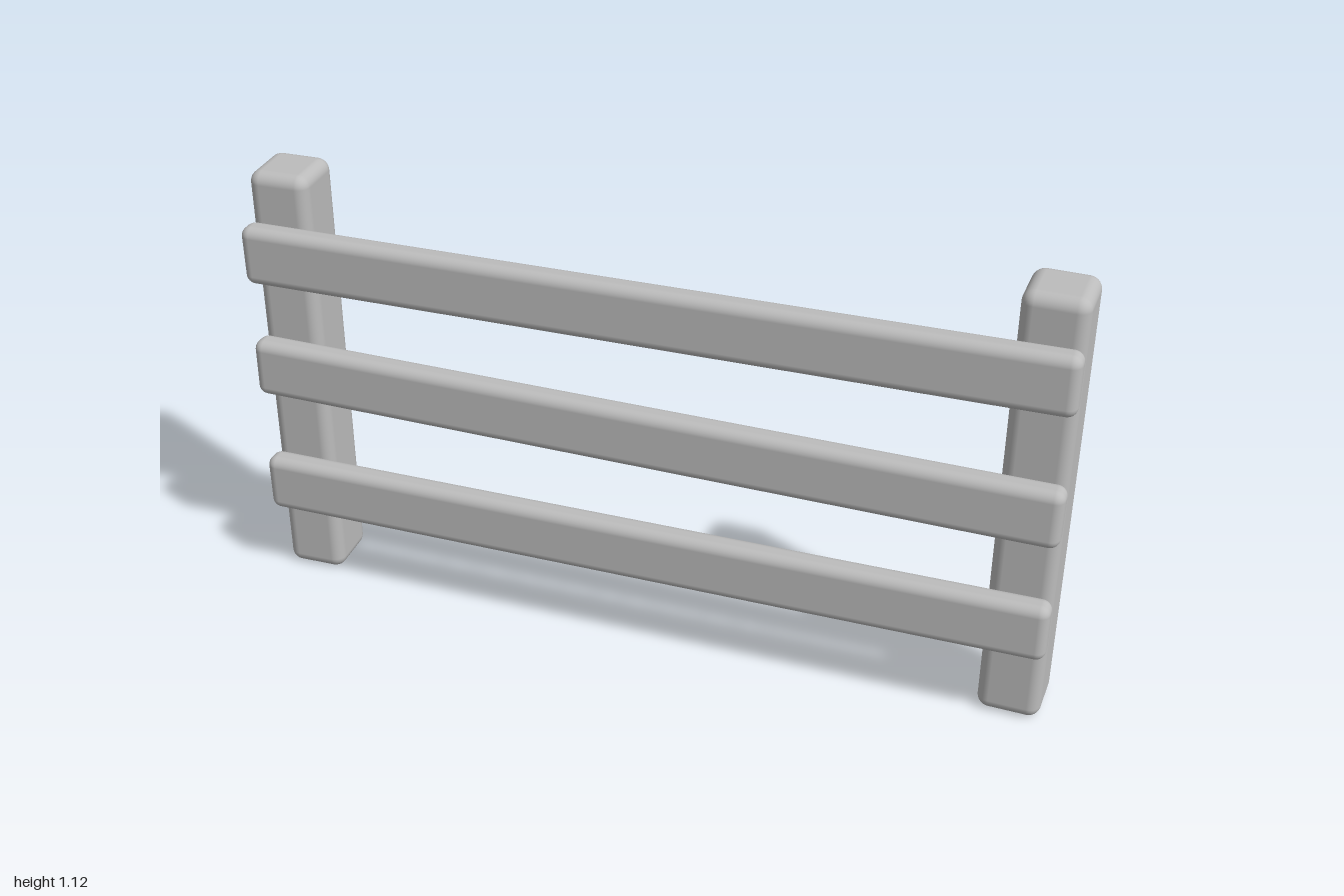
import * as THREE from 'three';
import { RoundedBoxGeometry } from 'three/addons/geometries/RoundedBoxGeometry.js';

export function createModel() {
  const fence = new THREE.Group();
  fence.name = 'fence';
  const grey = new THREE.MeshStandardMaterial({ color: 0xbcbcbc });
  grey.name = 'grey';

  function add(name, geometry, x, y, z) {
    const mesh = new THREE.Mesh(geometry, grey);
    mesh.name = name;
    mesh.position.set(x, y, z);
    fence.add(mesh);
    return mesh;
  }

  // Upright posts, each turned very slightly, mirrored left to right
  const postGeometry = new RoundedBoxGeometry(0.152, 1.12, 0.155, 4, 0.03);
  for (const side of [-1, 1]) {
    const post = add(side > 0 ? 'leftPost' : 'rightPost', postGeometry, side * 0.921, 0.56, -0.03);
    post.rotation.y = -side * 0.03;
  }

  // Horizontal rails on the front of the posts: centre heights at the -x and +x ends
  const railGeometry = new RoundedBoxGeometry(1.995, 0.15, 0.065, 4, 0.025);
  const rails = [
    ['bottomRail', 0.28, 0.291],
    ['middleRail', 0.618, 0.602],
    ['topRail', 0.925, 0.941],
  ];
  for (const [name, start, end] of rails) {
    const rail = add(name, railGeometry, 0, (start + end) / 2, 0.077);
    rail.rotation.z = Math.atan2(end - start, 2);
  }

  return fence;
}
